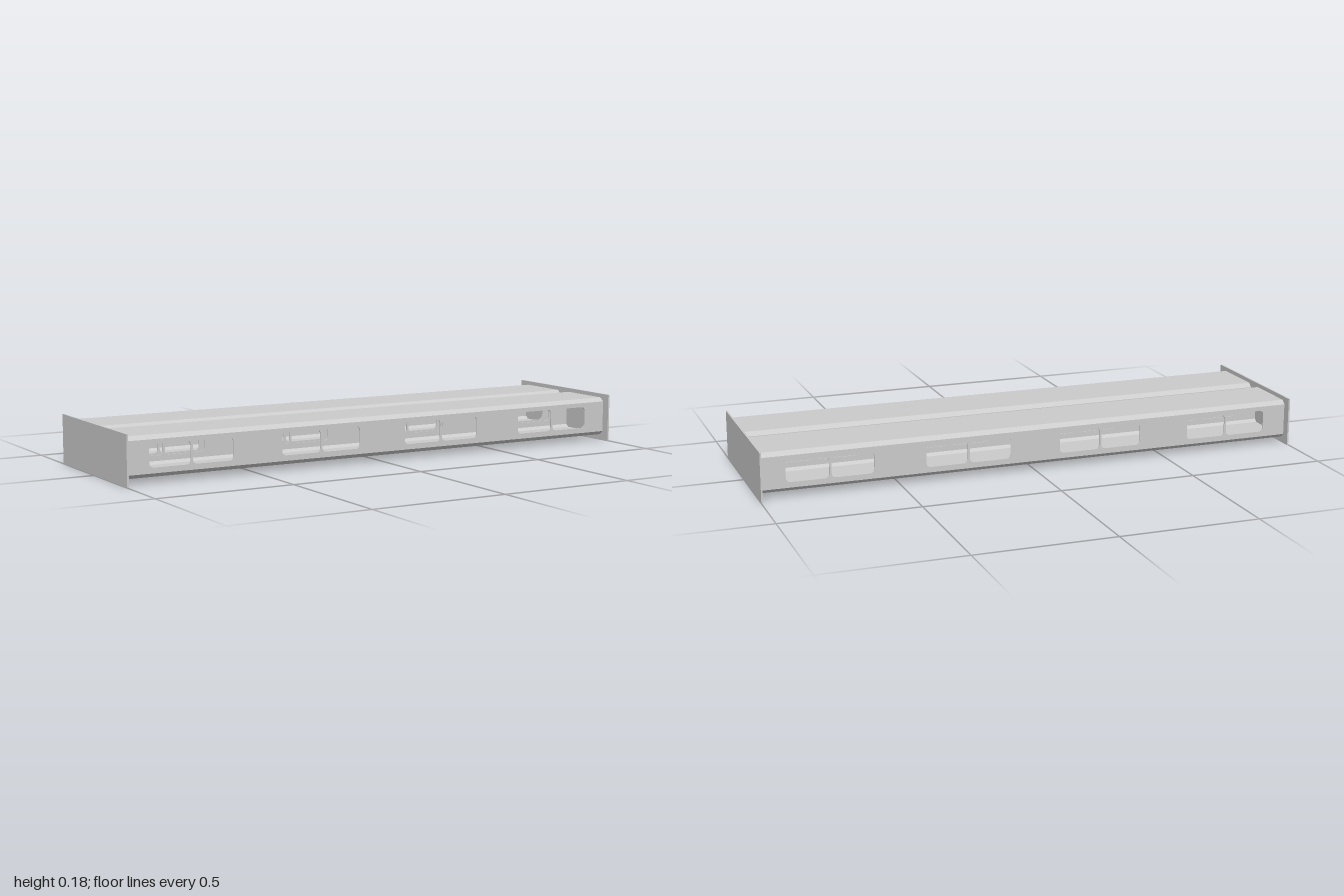
import * as THREE from 'three';

const material = new THREE.MeshStandardMaterial({ color: 0xcccccc, flatShading: true });
const PLATE = 0.006, LENGTH = 2 - 2 * PLATE;   // end plate thickness, beam length
const WIDTH = 0.23, HEIGHT = 0.143, MID_Y = 0.092, WALL = 0.004;
const CHAMFER_Z = 0.016, CHAMFER_Y = 0.014;

function addMesh(parent, name, geometry, x = 0, y = 0, z = 0) {
  const mesh = new THREE.Mesh(geometry, material);
  mesh.name = name;
  mesh.position.set(x, y, z);
  parent.add(mesh);
  return mesh;
}

// Rounded rectangle outline for a window opening
function windowPath(cx, cy, w, h, r) {
  const p = new THREE.Path(), x = w / 2 - r, y = h / 2 - r;
  p.absarc(cx + x, cy + y, r, 0, Math.PI / 2);
  p.absarc(cx - x, cy + y, r, Math.PI / 2, Math.PI);
  p.absarc(cx - x, cy - y, r, Math.PI, Math.PI * 1.5);
  p.absarc(cx + x, cy - y, r, Math.PI * 1.5, Math.PI * 2);
  p.closePath();
  return p;
}

// Side wall with four pairs of windows
function wallGeometry() {
  const hx = LENGTH / 2, hy = HEIGHT / 2 - CHAMFER_Y;
  const shape = new THREE.Shape([[-hx, -hy], [hx, -hy], [hx, hy], [-hx, hy]]
    .map(([x, y]) => new THREE.Vector2(x, y)));
  for (const pair of [-0.75, -0.25, 0.25, 0.75]) {
    for (const side of [-1, 1]) {
      shape.holes.push(windowPath(pair + side * 0.08, 0.002, 0.152, 0.08, 0.015));
    }
  }
  return new THREE.ExtrudeGeometry(shape, { depth: WALL, bevelEnabled: false, curveSegments: 5 })
    .translate(0, 0, -WALL / 2);
}

// Thin cover with a chamfer along both long edges
function coverGeometry() {
  const w = WIDTH / 2, top = HEIGHT / 2, low = top - CHAMFER_Y, flat = w - CHAMFER_Z;
  const shape = new THREE.Shape([
    [w, low], [flat, top], [-flat, top], [-w, low],
    [-w + WALL, low], [-flat, top - WALL], [flat, top - WALL], [w - WALL, low],
  ].map(([x, y]) => new THREE.Vector2(x, y)));
  return new THREE.ExtrudeGeometry(shape, { depth: LENGTH, bevelEnabled: false })
    .translate(0, 0, -LENGTH / 2).rotateY(Math.PI / 2);
}

export function createModel() {
  const model = new THREE.Group();
  model.name = 'twinBeamFrame';
  const wall = wallGeometry(), cover = coverGeometry();

  // Two hollow beams side by side
  for (const [name, z] of [['frontBeam', 0.134], ['backBeam', -0.134]]) {
    const beam = new THREE.Group();
    beam.name = name;
    beam.position.set(0, MID_Y, z);
    addMesh(beam, 'topCover', cover);
    addMesh(beam, 'bottomCover', cover).rotation.x = Math.PI;
    addMesh(beam, 'frontWall', wall, 0, 0, (WIDTH - WALL) / 2);
    addMesh(beam, 'backWall', wall, 0, 0, -(WIDTH - WALL) / 2);
    model.add(beam);
  }

  // Plates closing both ends
  const plate = new THREE.BoxGeometry(PLATE, 0.178, 0.56);
  addMesh(model, 'leftEndPlate', plate, 1 - PLATE / 2, 0.089, 0);
  addMesh(model, 'rightEndPlate', plate, -1 + PLATE / 2, 0.089, 0);
  return model;
}
